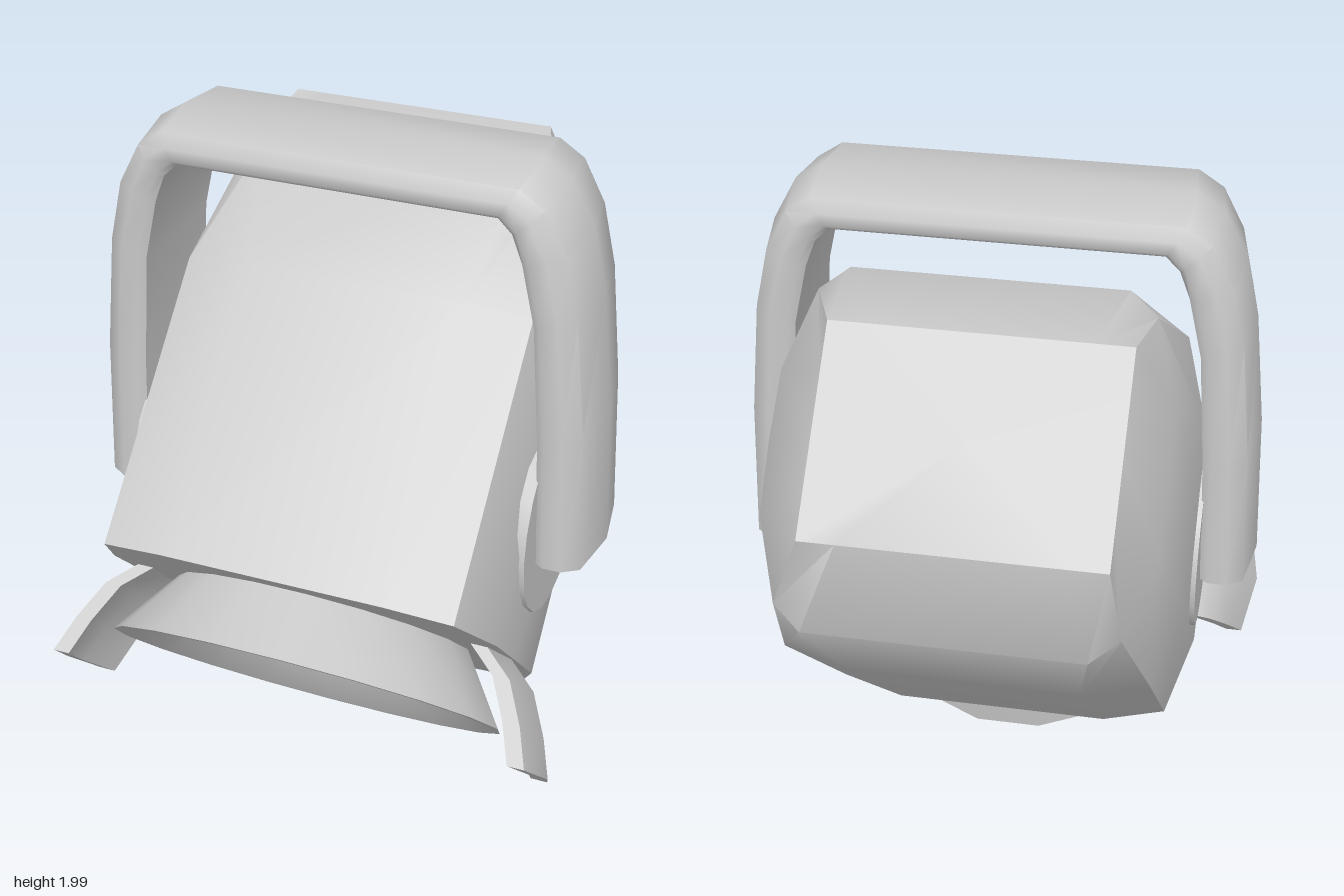
import * as THREE from 'three';
import { toCreasedNormals } from 'three/addons/utils/BufferGeometryUtils.js';

const material = new THREE.MeshStandardMaterial({ color: 0xcccccc, side: THREE.DoubleSide });

function addMesh(parent, name, geometry, crease = 0.75) {
  const mesh = new THREE.Mesh(toCreasedNormals(geometry, crease), material);
  mesh.name = name;
  parent.add(mesh);
  return mesh;
}

// Skin a series of equal-length rings and close both ends
function loft(rings) {
  const n = rings[0].length;
  const position = rings.flat(2);
  const index = [];
  for (let i = 0; i < rings.length - 1; i++) {
    for (let j = 0; j < n; j++) {
      const k = (j + 1) % n;
      const a = i * n + j, b = i * n + k;
      index.push(a, b, b + n, a, b + n, a + n);
    }
  }
  [0, rings.length - 1].forEach((r) => {
    const centre = position.length / 3;
    for (let c = 0; c < 3; c++) {
      position.push(rings[r].reduce((sum, p) => sum + p[c], 0) / n);
    }
    for (let j = 0; j < n; j++) {
      const a = r * n + j, b = r * n + ((j + 1) % n);
      index.push(centre, r ? a : b, r ? b : a);
    }
  });
  const geometry = new THREE.BufferGeometry();
  geometry.setAttribute('position', new THREE.Float32BufferAttribute(position, 3));
  geometry.setIndex(index);
  return geometry;
}

// Full rounded-square ring from one quadrant, listed from the side to the top
function squareRing(quadrant, z, shift = 0) {
  const upper = [...quadrant, ...quadrant.map(([x, y]) => [-x, y]).reverse()];
  const lower = upper.slice(1, -1).map(([x, y]) => [x, -y]).reverse();
  return [...upper, ...lower].map(([x, y]) => [x + shift, y, z]);
}

// Curved side grip, bowed along its middle
function gripGeometry(side) {
  const stations = [[-0.15, 0.54], [-0.07, 0.63], [0.05, 0.69], [0.16, 0.73]];
  return loft(stations.map(([z, x]) => {
    const ring = [
      [x, -0.18], [x + 0.035, 0], [x, 0.18],
      [x - 0.05, 0.18], [x - 0.02, 0], [x - 0.05, -0.18],
    ].map(([px, py]) => [side * px, py, z]);
    return side > 0 ? ring : ring.reverse();
  }));
}

export function createModel() {
  const model = new THREE.Group();
  model.name = 'stageLamp';

  // Lamp head, tilted down by 45 degrees
  const head = new THREE.Group();
  head.name = 'head';
  head.rotation.x = Math.PI / 4;
  model.add(head);
  const optics = new THREE.Group();
  optics.name = 'optics';
  optics.position.y = 0.655;
  head.add(optics);

  // Housing with a tapered back
  const full = [[0.592, 0], [0.59, 0.26], [0.52, 0.5], [0.33, 0.547]];
  const shoulder = [[0.535, 0], [0.53, 0.2], [0.46, 0.43], [0.38, 0.498]];
  const back = [[0.4, 0], [0.4, 0.16], [0.4, 0.29], [0.3, 0.29]];
  addMesh(optics, 'housing', loft([
    squareRing(back, -1.654, -0.03),
    squareRing(shoulder, -1.44),
    squareRing(full, -1.01),
    squareRing(full, -0.145),
  ]));

  // Flared hood and recessed lens
  const hood = new THREE.LatheGeometry([
    [0.44, -0.155], [0.59, 0.057], [0.565, 0.057], [0.39, -0.09],
  ].map(([r, y]) => new THREE.Vector2(r, y)), 18, Math.PI / 18);
  hood.rotateX(Math.PI / 2);
  addMesh(optics, 'hood', hood);
  const lens = new THREE.CircleGeometry(0.39, 18, Math.PI / 18);
  addMesh(optics, 'lens', lens).position.z = -0.09;

  // Side grips
  addMesh(optics, 'leftGrip', gripGeometry(1));
  addMesh(optics, 'rightGrip', gripGeometry(-1));

  // Pivot discs
  [1, -1].forEach((side) => {
    const disc = new THREE.CylinderGeometry(0.3, 0.3, 0.06, 20);
    disc.rotateZ(Math.PI / 2);
    addMesh(model, side > 0 ? 'leftPivot' : 'rightPivot', disc)
      .position.set(side * 0.575, 0.905, 0.07);
  });

  // Yoke: each station holds an outer and an inner point of the bar
  const half = [
    [0.763, 0.85, 0.61, 0.85], [0.745, 1.3, 0.595, 1.25],
    [0.71, 1.64, 0.57, 1.6], [0.67, 1.82, 0.53, 1.78],
    [0.6, 1.95, 0.5, 1.86], [0.52, 2, 0.46, 1.9],
  ];
  const stations = [...half,
    ...half.map(([ox, oy, ix, iy]) => [-ox, oy, -ix, iy]).reverse()];
  // Bar section: offset across z, then depth from outer to inner
  const side = [[0.18, 0.18], [0.212, 0.5], [0.212, 0.85], [0.195, 1]];
  const section = [[0, 0], ...side.map(([z, t]) => [-z, t]), [0, 1], ...side.slice().reverse()];
  addMesh(model, 'yoke', loft(stations.map(([ox, oy, ix, iy]) =>
    section.map(([z, t]) => [ox + (ix - ox) * t, oy + (iy - oy) * t, z + 0.072]))), 0.85);

  return model;
}
